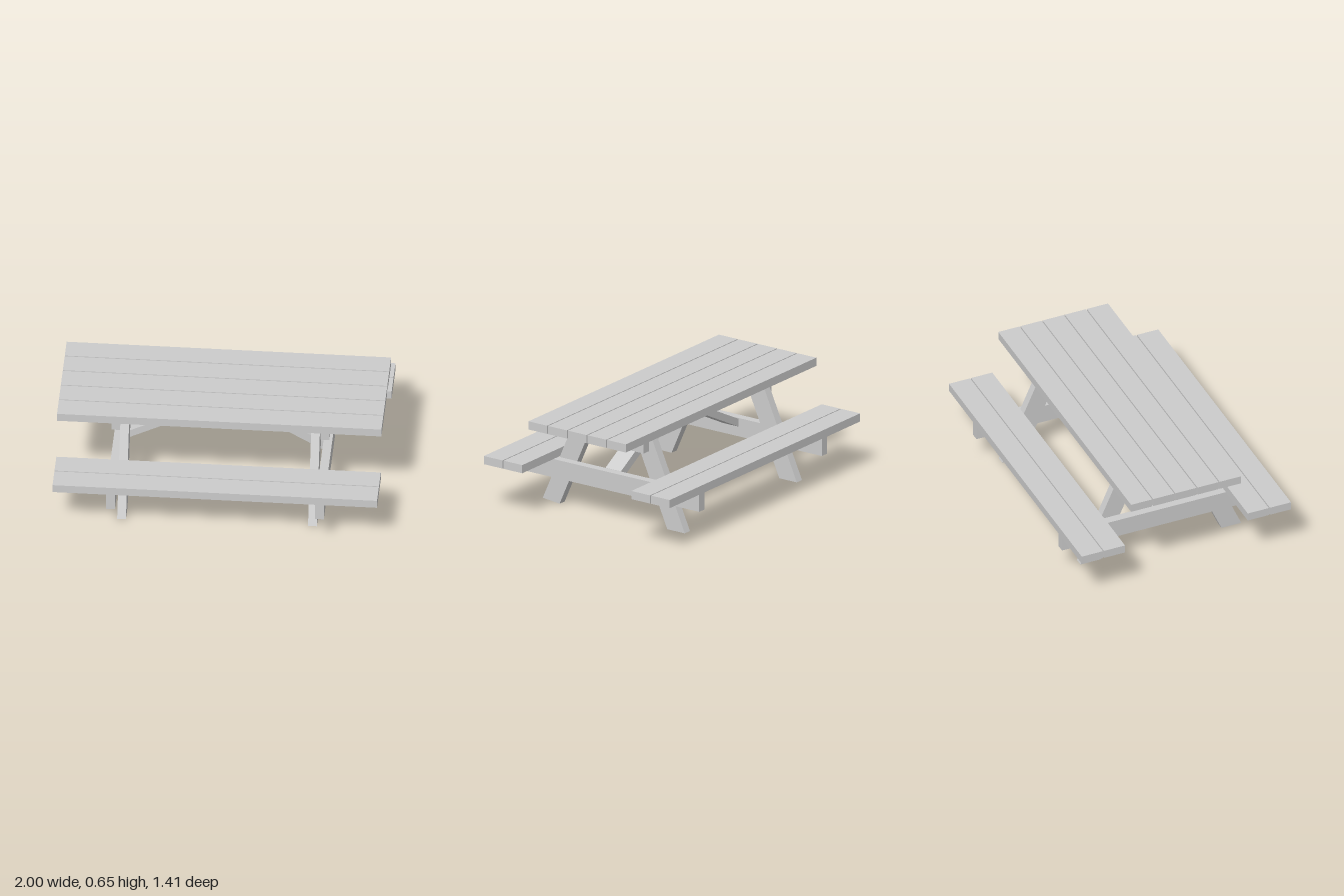
import * as THREE from 'three';

export function createModel() {
  const table = new THREE.Group();
  table.name = 'picnicTable';
  const material = new THREE.MeshStandardMaterial({ color: 0xcccccc, flatShading: true });

  function add(name, geometry, x = 0, y = 0, z = 0) {
    const mesh = new THREE.Mesh(geometry, material);
    mesh.name = name;
    mesh.position.set(x, y, z);
    table.add(mesh);
  }

  // Flat outline extruded to a board, centred on its thickness
  function board(points, thickness) {
    const shape = new THREE.Shape(points.map(([a, b]) => new THREE.Vector2(a, b)));
    return new THREE.ExtrudeGeometry(shape, { depth: thickness, bevelEnabled: false })
      .translate(0, 0, -thickness / 2);
  }

  // Table top and bench planks
  const plank = new THREE.BoxGeometry(2, 0.053, 0.142);
  for (let i = -2; i <= 2; i++) add('topPlank', plank, 0, 0.6265, i * 0.149 - 0.003);
  for (const side of [-1, 1]) {
    for (const z of [0.484, 0.633]) add('benchPlank', plank, 0, 0.332, side * z);
  }

  for (const side of [-1, 1]) {
    // Cross beams under the top and the benches
    add('topBeam', new THREE.BoxGeometry(0.054, 0.12, 0.54), side * 0.644, 0.54, 0);
    add('benchBeam', new THREE.BoxGeometry(0.054, 0.119, 1.38), side * 0.644, 0.2455, 0);

    // Splayed legs, the tops let in between the planks
    for (const end of [-1, 1]) {
      const lift = side > 0 && end > 0 ? 0.013 : 0;
      const leg = board([[0.408, 0], [0.541 - lift * 0.44, lift], [0.261, 0.638], [0.127, 0.638]], 0.054);
      leg.rotateY(end > 0 ? -Math.PI / 2 : Math.PI / 2);
      add(end > 0 ? 'frontLeg' : 'backLeg', leg, side * 0.588);
    }
  }

  // Diagonal braces from the bench beams up to the middle of the top
  add('leftBrace', board(
    [[0.043, 0.58], [0.617, 0.243], [0.617, 0.306], [0.11, 0.6], [0.043, 0.6]], 0.117));
  add('rightBrace', board(
    [[-0.617, 0.249], [0.043, 0.58], [0.043, 0.6], [-0.016, 0.6], [-0.617, 0.3]], 0.117));

  return table;
}
